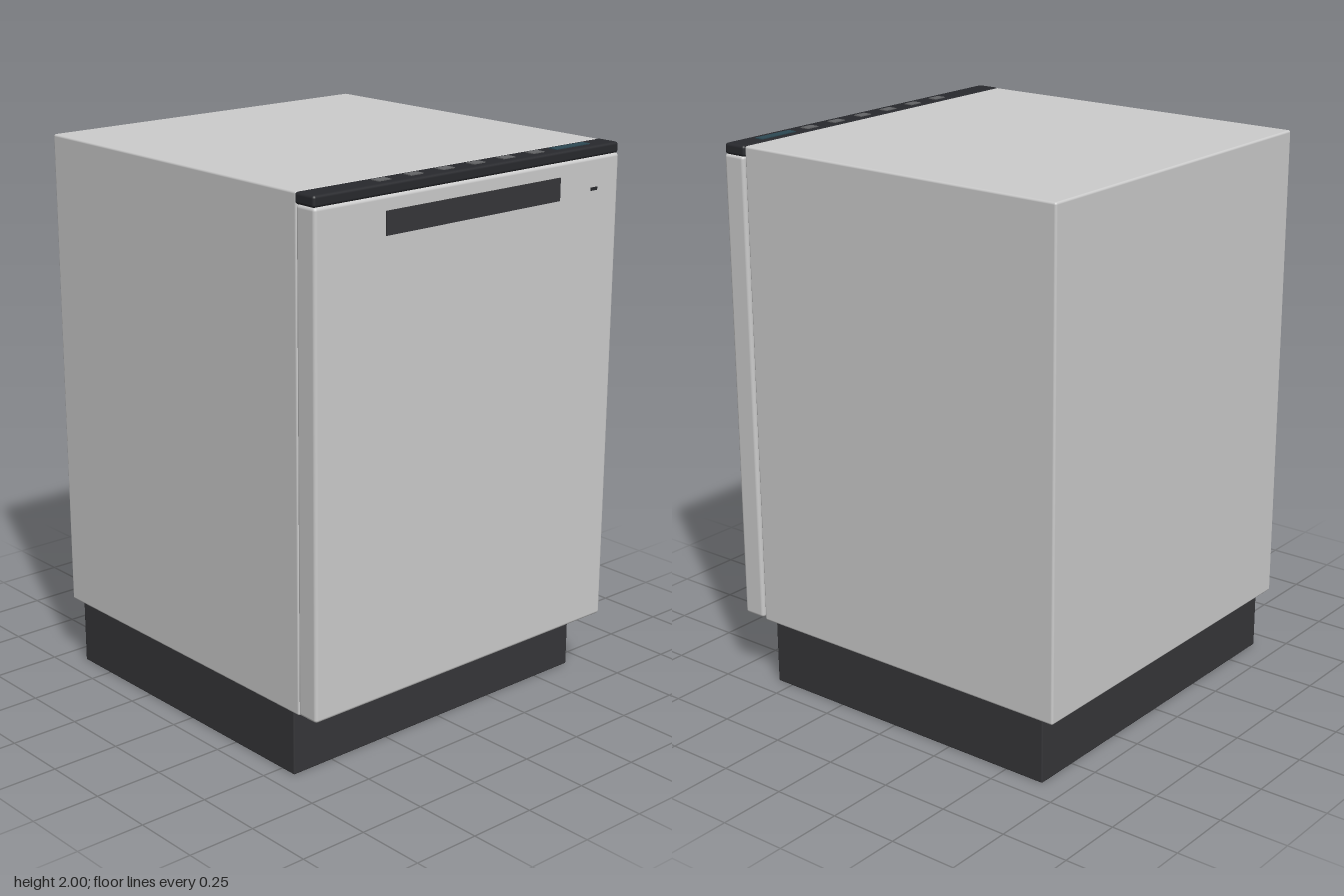
import * as THREE from 'three';
import { RoundedBoxGeometry } from 'three/addons/geometries/RoundedBoxGeometry.js';

const paint = (color) => new THREE.MeshStandardMaterial({ color });
const grey = paint(0xcccccc);
const plinthDark = paint(0x363639);
const panelDark = paint(0x28292d);
const buttonGrey = paint(0x636466);
const displayBlue = paint(0x2c4853);

export function createModel() {
  const model = new THREE.Group();
  model.name = 'dishwasher';

  // Box given by its limits on each axis, with an optional edge radius
  const addBox = (name, material, [x0, x1], [y0, y1], [z0, z1], radius = 0) => {
    const size = [x1 - x0, y1 - y0, z1 - z0];
    const geometry = radius
      ? new RoundedBoxGeometry(...size, 3, radius)
      : new THREE.BoxGeometry(...size);
    const mesh = new THREE.Mesh(geometry, material);
    mesh.name = name;
    mesh.position.set((x0 + x1) / 2, (y0 + y1) / 2, (z0 + z1) / 2);
    model.add(mesh);
    return mesh;
  };

  // Cabinet on a recessed plinth
  addBox('plinth', plinthDark, [-0.67, 0.67], [0, 0.25], [-0.655, 0.565], 0.005);
  addBox('cabinet', grey, [-0.684, 0.684], [0.238, 1.996], [-0.706, 0.608], 0.008);

  // Door with its handle strip and status light
  addBox('door', grey, [-0.69, 0.69], [0.245, 1.96], [0.612, 0.701], 0.012);
  addBox('handle', plinthDark, [-0.397, 0.393], [1.832, 1.911], [0.69, 0.706]);
  addBox('statusLight', panelDark, [0.55, 0.58], [1.845, 1.856], [0.69, 0.704]);

  // Control panel along the top edge of the door
  addBox('controlPanel', panelDark, [-0.69, 0.69], [1.958, 1.997], [0.606, 0.697], 0.01);
  for (let i = 0; i < 6; i++) {
    const x = -0.37 + i * 0.139;
    addBox('button', buttonGrey, [x - 0.027, x + 0.027], [1.985, 2], [0.63, 0.665]);
  }
  addBox('display', displayBlue, [0.411, 0.577], [1.985, 2], [0.63, 0.665]);

  return model;
}
